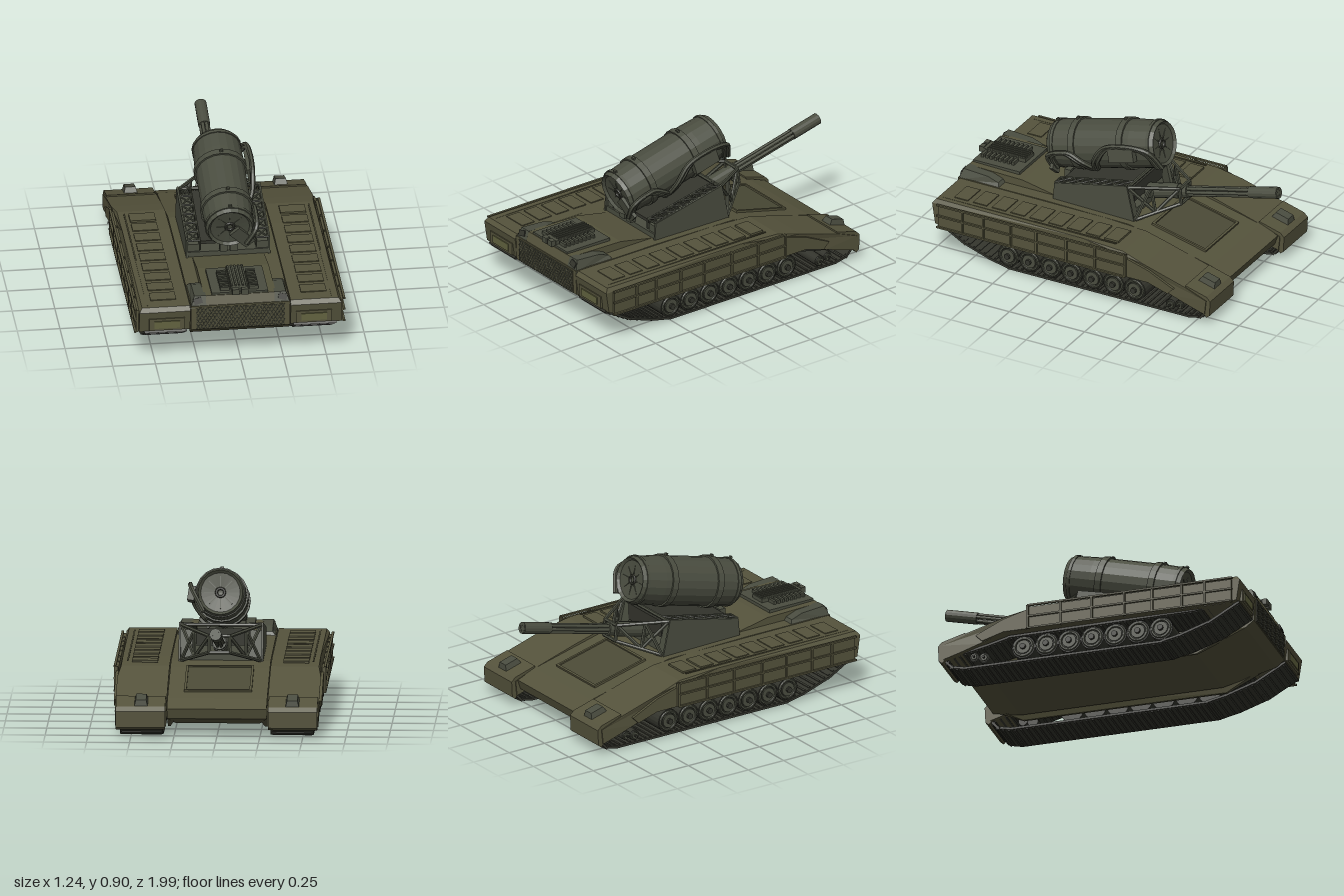
import * as THREE from 'three';
import { mergeGeometries } from 'three/addons/utils/BufferGeometryUtils.js';

const paint = (color) => new THREE.MeshStandardMaterial({ color, flatShading: true, side: THREE.DoubleSide });
const olive = paint(0x55533c), oliveDark = paint(0x4b4a36), gunGrey = paint(0x4a4d40), steel = paint(0x34352d), lamp = paint(0x62633f);
const V = (x, y, z) => new THREE.Vector3(x, y, z);

function add(parent, name, geo, mat, x = 0, y = 0, z = 0) {
  const m = new THREE.Mesh(geo, mat);
  m.name = name;
  m.position.set(x, y, z);
  parent.add(m);
  return m;
}
const box = (parent, name, mat, w, h, d, x, y, z) => add(parent, name, new THREE.BoxGeometry(w, h, d), mat, x, y, z);

// Side outline given as [z, y] pairs, extruded from x0 to x1
function sideExtrude(points, x0, x1) {
  const shape = new THREE.Shape(points.map(([z, y]) => new THREE.Vector2(z, y)));
  const g = new THREE.ExtrudeGeometry(shape, { depth: x1 - x0, bevelEnabled: false });
  return g.rotateY(-Math.PI / 2).translate(x1, 0, 0);
}

// Moves each vertex's x by a rule of x and y, then mirrors for the right side
function reshapeX(geo, s, rule) {
  const p = geo.attributes.position;
  for (let i = 0; i < p.count; i++) p.setX(i, s * rule(p.getX(i), p.getY(i)));
  geo.computeVertexNormals();
  return geo;
}

// Round bar between two points
function barGeo(a, b, r) {
  const dir = b.clone().sub(a);
  const g = new THREE.CylinderGeometry(r, r, dir.length(), 6);
  g.applyQuaternion(new THREE.Quaternion().setFromUnitVectors(V(0, 1, 0), dir.normalize()));
  return g.translate((a.x + b.x) / 2, (a.y + b.y) / 2, (a.z + b.z) / 2);
}
const bars = (parent, name, mat, list, r) => add(parent, name, mergeGeometries(list.map(([a, b]) => barGeo(a, b, r))), mat);

function buildHull() {
  const g = new THREE.Group();
  g.name = 'hull';
  // Main body and raised rear deck
  const body = sideExtrude([[0.985, 0.355], [0.98, 0.2], [0.93, 0.16], [0.62, 0.055], [-0.62, 0.055], [-0.8, 0.11], [-0.82, 0.17],
    [-0.7, 0.215], [-0.25, 0.325], [-0.15, 0.345], [0.4, 0.355]], -0.29, 0.29);
  add(g, 'hullBody', reshapeX(body, 1, (x, y) => (y < 0.06 ? x * 0.84 : x)), olive);
  add(g, 'rearDeck', sideExtrude([[0.985, 0.34], [0.96, 0.408], [0.6, 0.4], [0.35, 0.35]], -0.21, 0.21), olive);
  // Rear mesh grille in four woven rows
  box(g, 'rearPanel', oliveDark, 0.52, 0.14, 0.01, 0, 0.275, 0.982);
  const wires = [];
  for (let row = 0; row < 4; row++) for (let i = -12; i < 12; i++) {
    const y = 0.205 + row * 0.035, x = i * 0.0215;
    wires.push([V(x, y, 0.988), V(x + 0.0215, y + 0.035, 0.988)], [V(x + 0.0215, y, 0.988), V(x, y + 0.035, 0.988)]);
  }
  bars(g, 'rearMesh', gunGrey, wires, 0.002);
  for (const s of [-1, 1]) {
    // Lower side flange, rear cheek and its lamp
    const flange = sideExtrude([[0.95, 0.19], [0.63, 0.035], [-0.61, 0.035], [-0.79, 0.12], [-0.6, 0.15], [0.6, 0.15]], 0.235, 0.29);
    add(g, 'sideFlange', reshapeX(flange, s, (x, y) => (x < 0.25 && y < 0.04 ? 0.275 : x)), olive);
    const cheek = sideExtrude([[0.985, 0.34], [0.96, 0.41], [0.8, 0.4], [0.73, 0.375], [0.71, 0.345]], 0.2, 0.293);
    add(g, 'rearCheek', reshapeX(cheek, s, (x, y) => (x > 0.25 && y > 0.36 ? 0.268 : x)), gunGrey);
    box(g, 'cheekLamp', steel, 0.05, 0.035, 0.01, s * 0.248, 0.383, 0.972).rotation.set(-0.35, 0, -s * 0.25);
  }
  // Engine vent on the rear deck
  box(g, 'ventBase', gunGrey, 0.33, 0.02, 0.31, 0, 0.41, 0.8);
  box(g, 'ventSpine', gunGrey, 0.1, 0.035, 0.28, 0, 0.425, 0.81);
  for (let i = -2; i <= 2; i++) box(g, 'ventBar', gunGrey, 0.01, 0.012, 0.25, i * 0.021, 0.445, 0.8);
  for (const s of [-1, 1]) {
    for (let i = 0; i < 8; i++) box(g, 'ventLouver', gunGrey, 0.055, 0.025, 0.016, s * 0.085, 0.428, 0.72 + i * 0.029);
    box(g, 'ventCap', gunGrey, 0.04, 0.035, 0.03, s * 0.027, 0.43, 0.965);
  }
  // Sloped hatch on the front deck
  const hatch = new THREE.Group();
  hatch.name = 'frontHatch';
  hatch.position.set(0, 0.283, -0.43);
  hatch.rotation.x = -0.24;
  box(hatch, 'hatchPanel', oliveDark, 0.37, 0.006, 0.34, 0, 0, 0);
  for (const s of [-1, 1]) {
    box(hatch, 'hatchSideFrame', olive, 0.014, 0.018, 0.37, s * 0.19, 0.002, 0);
    box(hatch, 'hatchEndFrame', olive, 0.39, 0.018, 0.014, 0, 0.002, s * 0.178);
  }
  g.add(hatch);
  return g;
}

function buildTrackSide(s) {
  const g = new THREE.Group();
  g.name = s > 0 ? 'leftTrackUnit' : 'rightTrackUnit';
  // Fender with chamfered outer top edge, and nose cap
  const fender = sideExtrude([[0.97, 0.355], [0.99, 0.33], [0.97, 0.2], [0.9, 0.185], [-0.45, 0.19], [-0.6, 0.14], [-0.72, 0.1], [-0.82, 0.07],
    [-0.83, 0.16], [-0.69, 0.215], [-0.42, 0.295], [-0.27, 0.335], [0, 0.35]], 0.294, 0.592);
  add(g, 'fender', reshapeX(fender, s, (x, y) => (x > 0.5 && y > 0.334 ? 0.575 : x)), olive);
  const cap = sideExtrude([[-0.69, 0.2], [-0.69, 0.225], [-0.83, 0.185], [-0.855, 0.16], [-0.85, 0.065], [-0.83, 0.05]], -0.143, 0.143);
  add(g, 'noseCap', cap, olive, s * 0.443);
  const light = new THREE.CylinderGeometry(0.045, 0.062, 0.045, 4).rotateY(Math.PI / 4).scale(0.95, 1, 1.35);
  add(g, 'headlight', light, gunGrey, s * 0.44, 0.212, -0.775).rotation.x = -0.28;
  box(g, 'rearLampFrame', olive, 0.21, 0.075, 0.016, s * 0.43, 0.25, 0.982);
  box(g, 'rearLamp', lamp, 0.15, 0.045, 0.02, s * 0.43, 0.25, 0.986);
  // Raised deck plates and rail
  for (let i = 0; i < 9; i++) box(g, 'deckPlate', olive, 0.15, 0.012, 0.09, s * 0.44, 0.349 + i * 0.0006, -0.16 + i * 0.125);
  box(g, 'deckRail', olive, 0.008, 0.006, 1.15, s * 0.54, 0.353, 0.37);
  // Side skirt panels with frames
  const ends = [0.95, 0.78, 0.64, 0.46, 0.29, 0.09, -0.1, -0.3];
  for (let i = 0; i < 7; i++) {
    const d = ends[i] - ends[i + 1], z = (ends[i] + ends[i + 1]) / 2;
    box(g, 'skirtPanel', olive, 0.016, 0.14, d - 0.015, s * 0.598, 0.257, z);
    box(g, 'skirtPost', olive, 0.022, 0.145, 0.012, s * 0.605, 0.262, ends[i + 1]);
  }
  for (const y of [0.19, 0.265, 0.335]) box(g, 'skirtRail', olive, 0.014, 0.01, 1.25, s * 0.611, y, 0.325);
  const front = sideExtrude([[-0.31, 0.19], [-0.45, 0.19], [-0.58, 0.15], [-0.62, 0.19], [-0.45, 0.27], [-0.31, 0.31]], -0.008, 0.008);
  add(g, 'frontSkirt', front, olive, s * 0.597);
  // Road wheels and small front idlers
  const wheel = (name, r, y, z) => {
    add(g, name, new THREE.CylinderGeometry(r, r, 0.2, 20).rotateZ(Math.PI / 2), steel, s * 0.46, y, z);
    add(g, name + 'Rim', new THREE.TorusGeometry(r * 0.78, r * 0.12, 6, 20).rotateY(Math.PI / 2), gunGrey, s * 0.56, y, z);
    add(g, name + 'Dish', new THREE.CylinderGeometry(r * 0.6, r * 0.6, 0.012, 16).rotateZ(Math.PI / 2), gunGrey, s * 0.563, y, z);
    add(g, name + 'Hub', new THREE.CylinderGeometry(r * 0.25, r * 0.25, 0.03, 10).rotateZ(Math.PI / 2), steel, s * 0.57, y, z);
  };
  for (let i = 0; i < 7; i++) wheel('roadWheel', 0.07, 0.095, 0.5 - i * 0.14);
  wheel('idler', 0.032, 0.06, -0.58);
  wheel('idler', 0.028, 0.072, -0.64);
  // Track links follow a closed loop
  const path = new THREE.CurvePath();
  const loop = [[0.96, 0.19], [0.8, 0.1], [0.62, 0.04], [0.49, 0.012], [-0.7, 0.012], [-0.78, 0.03], [-0.82, 0.075], [-0.76, 0.1], [-0.58, 0.135], [-0.42, 0.175], [0.7, 0.185], [0.9, 0.215]]
    .map(([z, y]) => V(0, y, z));
  loop.forEach((a, i) => path.add(new THREE.LineCurve3(a, loop[(i + 1) % loop.length])));
  const n = 100, links = [];
  for (let i = 0; i < n; i++) {
    const c = path.getPointAt(i / n), t = path.getTangentAt(i / n);
    for (const [w, h, d] of [[0.25, 0.014, 0.037], [0.23, 0.024, 0.012]]) {
      links.push(new THREE.BoxGeometry(w, h, d).rotateX(Math.atan2(-t.y, t.z)).translate(s * 0.437, c.y, c.z));
    }
  }
  add(g, 'track', mergeGeometries(links), steel);
  return g;
}

function buildMount() {
  const g = new THREE.Group();
  g.name = 'gunMount';
  const topY = (z) => 0.46 + (0.37 - z) * 0.208;
  box(g, 'mountFloor', gunGrey, 0.47, 0.05, 0.5, 0, 0.36, 0.12);
  add(g, 'drumCradle', sideExtrude([[0.36, 0.43], [-0.12, 0.43], [-0.12, 0.53], [0.36, 0.45]], -0.17, 0.17), steel);
  for (const s of [-1, 1]) {
    // Outer plate, lower inner block and open truss above it
    add(g, 'sidePlate', sideExtrude([[0.38, 0.34], [-0.16, 0.34], [-0.11, 0.565], [0.37, 0.46]], -0.006, 0.006), gunGrey, s * 0.24);
    add(g, 'sideBlock', sideExtrude([[0.36, 0.35], [-0.14, 0.35], [-0.1, 0.52], [0.36, 0.43]], -0.035, 0.035), gunGrey, s * 0.2);
    const inner = (z) => V(s * 0.165, topY(z), z), outer = (z) => V(s * 0.236, topY(z), z);
    const truss = [[inner(0.37), inner(-0.11)], [outer(0.37), outer(-0.11)]];
    for (let i = 0; i < 6; i++) {
      const a = 0.37 - i * 0.08, b = a - 0.08;
      truss.push([inner(a), outer(a)], [inner(a), outer(b)], [outer(a), inner(b)], [inner(a), V(s * 0.165, 0.4, a)]);
    }
    bars(g, 'mountTruss', gunGrey, truss, 0.006);
    // Frame converging on the gun yoke
    const top = V(s * 0.23, 0.55, -0.11), low = V(s * 0.23, 0.35, -0.16), yTop = V(s * 0.06, 0.525, -0.36), yLow = V(s * 0.06, 0.43, -0.37);
    const mid = V(s * 0.15, 0.54, -0.22), midLow = V(s * 0.15, 0.385, -0.25);
    bars(g, 'yokeFrame', gunGrey, [[top, yTop], [low, yLow], [yTop, yLow], [top, midLow], [mid, midLow], [mid, low], [midLow, yTop]], 0.011);
    box(g, 'rearFoot', gunGrey, 0.045, 0.05, 0.04, s * 0.03, 0.425, 0.39);
  }
  const cross = [[0.23, 0.55, -0.11], [0.06, 0.525, -0.36], [0.06, 0.43, -0.37]];
  bars(g, 'frontCrossBar', gunGrey, cross.map(([x, y, z]) => [V(-x, y, z), V(x, y, z)]), 0.011);
  return g;
}

function buildDrum() {
  const g = new THREE.Group();
  g.name = 'ammunitionDrum';
  g.position.set(0, 0.672, 0.125);
  g.rotation.x = 0.25;
  // Shell with rounded rims, lying along z
  const prof = [[0, -0.34], [0.115, -0.35], [0.13, -0.365], [0.14, -0.34], [0.146, -0.2], [0.146, 0.2], [0.14, 0.34], [0.13, 0.365], [0.115, 0.35], [0, 0.34]];
  add(g, 'drumShell', new THREE.LatheGeometry(prof.map(([r, y]) => new THREE.Vector2(r, y)), 20).rotateX(Math.PI / 2), gunGrey);
  for (const [z, r, w] of [[-0.33, 0.146, 0.02], [-0.14, 0.156, 0.04], [0.19, 0.156, 0.04], [0.33, 0.146, 0.02]]) {
    add(g, 'drumBand', new THREE.CylinderGeometry(r, r, w, 20).rotateX(Math.PI / 2), gunGrey, 0, 0, z);
    if (z > -0.3) box(g, 'bandLug', gunGrey, 0.02, 0.02, 0.012, 0, r + 0.002, z);
  }
  // End caps: hub and radial ribs
  for (const s of [-1, 1]) {
    add(g, 'endHub', new THREE.TorusGeometry(0.024, 0.009, 6, 12), steel, 0, 0, s * 0.345);
    for (let i = 0; i < 8; i++) {
      const a = (i * Math.PI) / 4;
      box(g, 'endRib', gunGrey, 0.06, 0.006, 0.01, Math.cos(a) * 0.065, Math.sin(a) * 0.065, s * 0.344).rotation.z = a;
    }
  }
  // Flat feed chute arching along the left flank: [degrees, z, radius]
  const chute = [[-50, 0.36, 0.15], [-5, 0.34, 0.155], [2, 0.22, 0.162], [-20, 0.14, 0.162], [-50, 0.08, 0.157], [-15, 0.03, 0.167],
    [15, -0.07, 0.185], [18, -0.2, 0.19], [5, -0.33, 0.165], [-50, -0.36, 0.15]];
  for (const dz of [-0.014, 0.014]) {
    const curve = new THREE.CatmullRomCurve3(chute.map(([deg, z, r]) => {
      const a = THREE.MathUtils.degToRad(deg);
      return V(Math.cos(a) * r, Math.sin(a) * r, z + dz);
    }));
    add(g, 'feedChute', new THREE.TubeGeometry(curve, 60, 0.014, 6), gunGrey);
  }
  box(g, 'chuteHousing', gunGrey, 0.04, 0.085, 0.17, 0.172, 0.005, -0.17).rotation.z = 0.15;
  box(g, 'rearFeedArm', gunGrey, 0.14, 0.075, 0.022, 0.075, -0.075, 0.355).rotation.z = -0.8;
  return g;
}

function buildGun() {
  const g = new THREE.Group();
  g.name = 'rotaryGun';
  g.position.set(0, 0.487, -0.37);
  g.rotation.x = 0.24;
  const tube = (name, r, z0, z1, x = 0, y = 0) =>
    add(g, name, new THREE.CylinderGeometry(r, r, z0 - z1, 14).rotateX(Math.PI / 2), gunGrey, x, y, (z0 + z1) / 2);
  tube('receiver', 0.045, 0.26, 0.04);
  tube('yokeRing', 0.04, 0.04, -0.02);
  for (let i = 0; i < 6; i++) {
    const a = (i * Math.PI) / 3;
    tube('barrel', 0.01, 0.04, -0.637, Math.cos(a) * 0.022, Math.sin(a) * 0.022);
  }
  tube('muzzleSleeve', 0.035, -0.44, -0.635);
  return g;
}

export function createModel() {
  const model = new THREE.Group();
  model.name = 'trackedGunVehicle';
  model.add(buildHull(), buildTrackSide(1), buildTrackSide(-1), buildMount(), buildDrum(), buildGun());
  return model;
}
